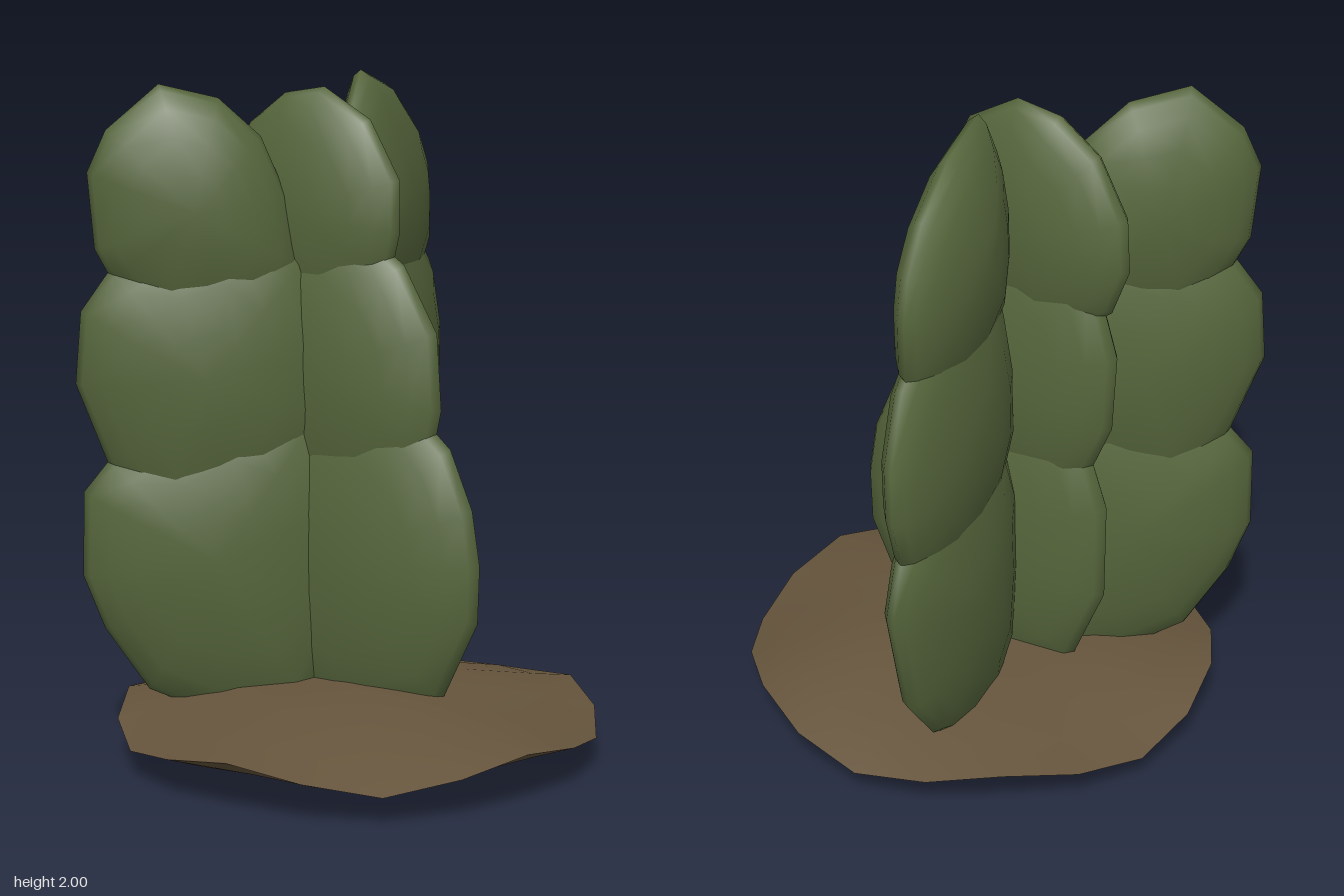
import * as THREE from 'three';
import { mergeVertices } from 'three/addons/utils/BufferGeometryUtils.js';

const green = new THREE.MeshStandardMaterial({ color: 0x56663c });
green.name = 'cactus green';
const brown = new THREE.MeshStandardMaterial({ color: 0x65543c });
brown.name = 'soil brown';

// weld the seams so the normals come out smooth
function smooth(geometry) {
  geometry.deleteAttribute('uv');
  geometry.deleteAttribute('normal');
  const welded = mergeVertices(geometry, 1e-4);
  welded.computeVertexNormals();
  return welded;
}

// Pillow-shaped pad: a sphere whose equator is moved onto an outline of [u, y]
// points (counter-clockwise) and whose poles become its two bulging faces.
function padGeometry(outline, thickness) {
  const n = outline.length;
  const mid = a => (Math.min(...a) + Math.max(...a)) / 2;
  const cu = mid(outline.map(p => p[0])), cy = mid(outline.map(p => p[1]));
  const geometry = new THREE.SphereGeometry(1, n, 10);
  geometry.rotateX(Math.PI / 2);
  const pos = geometry.attributes.position;
  for (let i = 0; i < pos.count; i++) {
    const [u, y] = outline[i % (n + 1) % n];
    const r = Math.hypot(pos.getX(i), pos.getY(i));
    const t = pos.getZ(i);
    // the power gives the pad a slightly pointed, lens-like edge
    const bulge = Math.sign(t) * Math.abs(t) ** 1.2 * thickness;
    pos.setXYZ(i, cu + (u - cu) * r, cy + (y - cy) * r, bulge);
  }
  return geometry;
}

// Fin of three stacked pads. `along` maps u to a ground point [x, z].
function makeFin(name, lobes, along, thicknesses) {
  const fin = new THREE.Group();
  fin.name = name;
  const [x0, z0] = along(0), [x1, z1] = along(1);
  const length = Math.hypot(x1 - x0, z1 - z0);
  const nx = -(z1 - z0) / length, nz = (x1 - x0) / length;
  const names = ['lowerPad', 'middlePad', 'upperPad'];
  lobes.forEach((lobe, j) => {
    const area = lobe.reduce((s, p, i) => {
      const q = lobe[(i + 1) % lobe.length];
      return s + p[0] * q[1] - q[0] * p[1];
    }, 0);
    const outline = area > 0 ? lobe : [...lobe].reverse();
    const geometry = padGeometry(outline, thicknesses[j]);
    const pos = geometry.attributes.position;
    for (let i = 0; i < pos.count; i++) {
      const [x, z] = along(pos.getX(i));
      const t = pos.getZ(i);
      pos.setXYZ(i, x + nx * t, pos.getY(i), z + nz * t);
    }
    const mesh = new THREE.Mesh(smooth(geometry), green);
    mesh.name = names[j];
    fin.add(mesh);
  });
  return fin;
}

// Wavy-rimmed half of the soil mound, turned from a short profile
function makeSoil(name, profile) {
  const geometry = new THREE.LatheGeometry(profile.map(p => new THREE.Vector2(...p)), 20);
  // lathe profiles running inwards and upwards need no flip; the rim waves five times
  const pos = geometry.attributes.position;
  for (let i = 0; i < pos.count; i++) {
    const x = pos.getX(i), z = pos.getZ(i), r = Math.hypot(x, z);
    const wave = 0.034 * Math.sin(5 * Math.atan2(x, z)) * (r / 0.712) ** 4;
    pos.setY(i, pos.getY(i) + wave);
  }
  const mesh = new THREE.Mesh(smooth(geometry), brown);
  mesh.name = name;
  return mesh;
}

// Pad outlines; back and front fins in [z, y], side fin in [x, y]
const backLobes = [
  [[-0.47, 0.19], [-0.61, 0.38], [-0.695, 0.73], [-0.64, 0.89], [-0.5, 1.05], [-0.3, 1.1],
    [-0.1, 1.02], [-0.01, 0.8], [0.01, 0.5], [-0.02, 0.2], [-0.14, 0.08], [-0.32, 0.1]],
  [[-0.64, 0.88], [-0.685, 1.03], [-0.69, 1.2], [-0.62, 1.41], [-0.45, 1.57], [-0.25, 1.58],
    [-0.1, 1.45], [-0.03, 1.2], [-0.02, 0.95], [-0.12, 0.78], [-0.33, 0.7], [-0.52, 0.74]],
  [[-0.6, 1.43], [-0.605, 1.6], [-0.58, 1.72], [-0.5, 1.84], [-0.35, 1.95], [-0.18, 2.0],
    [-0.11, 1.88], [-0.065, 1.72], [-0.055, 1.55], [-0.09, 1.38], [-0.28, 1.25], [-0.48, 1.27]],
];
const frontLobes = [
  [[0.47, 0.19], [0.575, 0.38], [0.625, 0.54], [0.62, 0.79], [0.56, 0.88], [0.43, 0.99],
    [0.22, 1.1], [0.06, 1.02], [-0.01, 0.75], [-0.01, 0.4], [0.07, 0.12], [0.3, 0.1]],
  [[0.56, 0.87], [0.635, 1.11], [0.62, 1.32], [0.55, 1.44], [0.42, 1.54], [0.24, 1.6],
    [0.09, 1.47], [0.03, 1.25], [0.02, 1.0], [0.12, 0.78], [0.28, 0.68], [0.45, 0.66]],
  [[0.55, 1.42], [0.585, 1.5], [0.6, 1.72], [0.555, 1.84], [0.43, 1.97], [0.29, 1.93],
    [0.19, 1.82], [0.13, 1.65], [0.1, 1.45], [0.15, 1.32], [0.3, 1.25], [0.44, 1.26]],
];
const sideLobes = [
  [[0.28, 0.2], [0.39, 0.44], [0.395, 0.61], [0.37, 0.77], [0.3, 0.94], [0.15, 1.08],
    [-0.15, 1.1], [-0.33, 0.98], [-0.41, 0.75], [-0.41, 0.45], [-0.31, 0.19], [-0.05, 0.09]],
  [[0.24, 0.9], [0.27, 1.05], [0.255, 1.27], [0.15, 1.46], [0, 1.57], [-0.2, 1.59],
    [-0.36, 1.48], [-0.43, 1.25], [-0.42, 1.02], [-0.34, 0.82], [-0.12, 0.7], [0.12, 0.75]],
  [[0.11, 1.44], [0.135, 1.55], [0.135, 1.7], [0.04, 1.87], [-0.11, 1.96], [-0.24, 1.94],
    [-0.36, 1.85], [-0.45, 1.68], [-0.46, 1.53], [-0.41, 1.39], [-0.25, 1.26], [-0.02, 1.28]],
];

export function createModel() {
  const model = new THREE.Group();
  model.name = 'cactus';
  model.add(
    makeSoil('soilTop', [[0.712, 0.117], [0.58, 0.155], [0.36, 0.205], [0, 0.228]]),
    makeSoil('soilUnderside', [[0, 0], [0.36, 0.025], [0.58, 0.068], [0.712, 0.117]]),
    makeFin('backFin', backLobes, z => [-0.108 + 0.47 * z, z], [0.115, 0.115, 0.108]),
    makeFin('frontFin', frontLobes, z => [-0.075 - 0.695 * z, z], [0.13, 0.125, 0.12]),
    makeFin('sideFin', sideLobes, x => [x, -0.29 * x], [0.117, 0.112, 0.1]),
  );
  return model;
}
